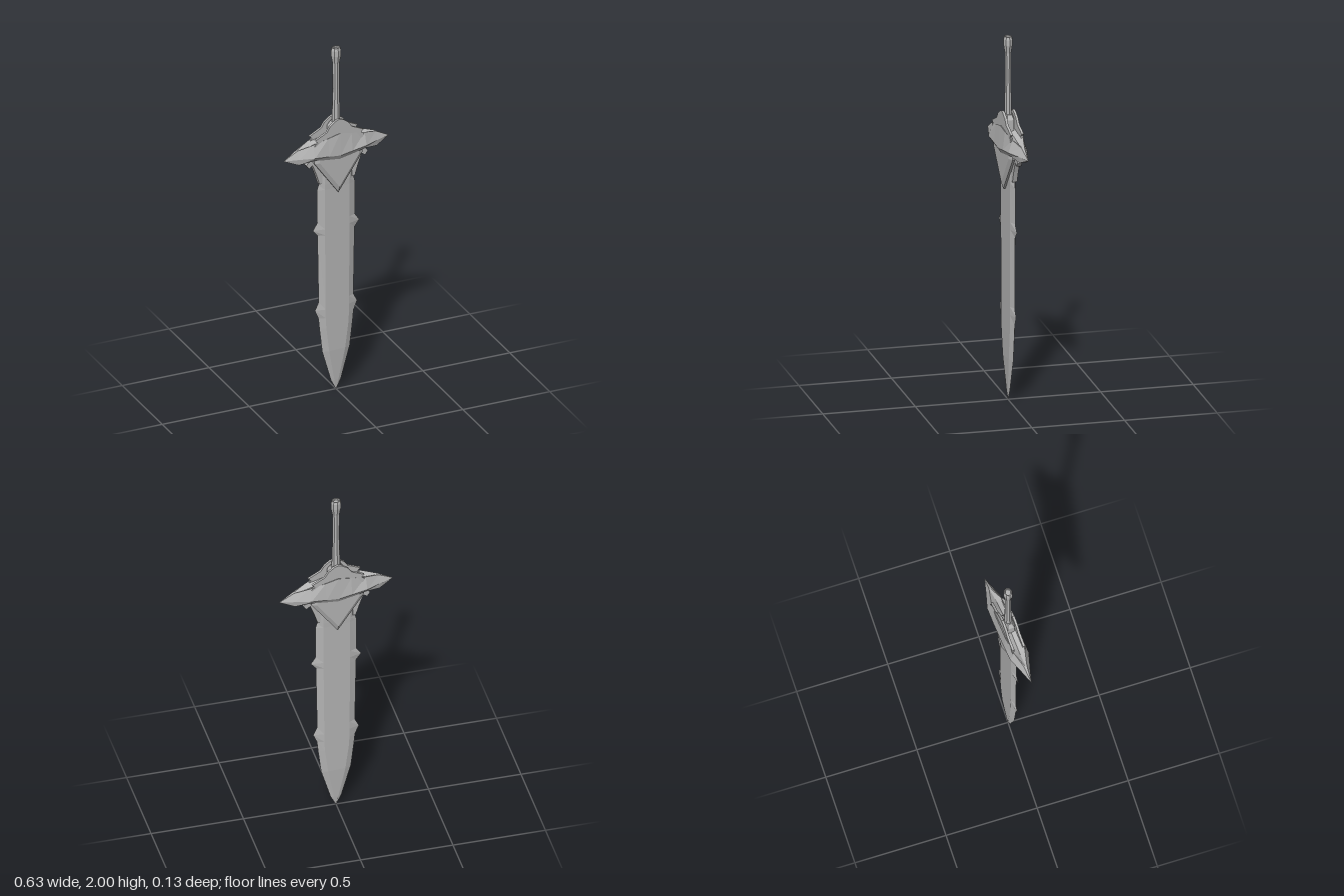
import * as THREE from 'three';

const steel = new THREE.MeshStandardMaterial({ color: 0xb4b4b4 });
steel.name = 'steel grey';

// Faceted solid through a list of equal-sized rings of [x, y, z], capped at both ends.
function loft(rings) {
  const pos = [];
  let volume = 0;
  const tri = (a, b, c) => {
    pos.push([a, b, c]);
    const [u, v, w] = [a, b, c].map((p) => new THREE.Vector3(p[0], p[1] - 1, p[2]));
    volume += u.dot(v.cross(w));
  };
  const n = rings[0].length;
  for (let i = 0; i < rings.length - 1; i++) {
    for (let j = 0; j < n; j++) {
      const k = (j + 1) % n;
      const [a, b, c, d] = [rings[i][j], rings[i][k], rings[i + 1][k], rings[i + 1][j]];
      tri(a, b, c);
      tri(a, c, d);
    }
  }
  const first = rings[0], last = rings[rings.length - 1];
  for (let j = 1; j < n - 1; j++) {
    tri(first[0], first[j + 1], first[j]);
    tri(last[0], last[j], last[j + 1]);
  }
  // Keep the faces pointing outward
  if (volume < 0) pos.forEach((t) => t.reverse());
  const geo = new THREE.BufferGeometry();
  geo.setAttribute('position', new THREE.Float32BufferAttribute(pos.flat(2), 3));
  geo.computeVertexNormals();
  return geo;
}

// Flat plate from an outline, reaching from z0 to z1.
function plate(points, z0, z1) {
  const shape = new THREE.Shape(points.map(([x, y]) => new THREE.Vector2(x, y)));
  const geo = new THREE.ExtrudeGeometry(shape, { depth: z1 - z0, bevelEnabled: false });
  return geo.translate(0, 0, z0);
}

const mirror = (half) => [...half, ...half.slice().reverse().filter(([x]) => x > 0).map(([x, y]) => [-x, y])];

export function createModel() {
  const sword = new THREE.Group();
  sword.name = 'sword';
  const add = (name, geo) => {
    const mesh = new THREE.Mesh(geo, steel);
    mesh.name = name;
    sword.add(mesh);
    return mesh;
  };

  // Blade: height, half width, half width of the flat, half thickness
  const blade = [
    [0.005, 0.001, 0.0005, 0.0005], [0.06, 0.03, 0.012, 0.005], [0.24, 0.083, 0.048, 0.013],
    [0.38, 0.1, 0.066, 0.014], [0.44, 0.106, 0.07, 0.014], [0.49, 0.127, 0.07, 0.014],
    [0.535, 0.105, 0.07, 0.014], [0.925, 0.112, 0.074, 0.014], [0.96, 0.14, 0.074, 0.014],
    [1.0, 0.113, 0.074, 0.014], [1.19, 0.115, 0.074, 0.014], [1.22, 0.106, 0.074, 0.015],
    [1.27, 0.11, 0.076, 0.015], [1.4, 0.135, 0.08, 0.015],
  ];
  add('blade', loft(blade.map(([y, w, f, t]) => [
    [w, y, 0], [f, y, t], [-f, y, t], [-w, y, 0], [-f, y, -t], [f, y, -t],
  ])));

  // Barbs where the blade meets the guard
  for (const side of [1, -1]) {
    const barb = [[0.09, 1.23], [0.106, 1.23], [0.125, 1.29], [0.148, 1.35], [0.168, 1.335],
      [0.186, 1.358], [0.162, 1.383], [0.09, 1.39]].map(([x, y]) => [side * x, y]);
    add(side > 0 ? 'leftBarb' : 'rightBarb', plate(barb, -0.013, 0.013));
  }

  // Pointed collar with bevelled edges
  const collarRing = (w, tip, z) => [[w, 1.4, z], [w, 1.365, z], [0, tip, z], [-w, 1.365, z], [-w, 1.4, z]];
  add('bladeCollar', loft([
    collarRing(0.118, 1.2, -0.038), collarRing(0.145, 1.165, -0.026),
    collarRing(0.145, 1.165, 0.026), collarRing(0.118, 1.2, 0.038),
  ]));

  // Cross guard: x, bottom, widest height, top, half depth low, half depth at top
  const half = [
    [0, 1.365, 1.39, 1.515, 0.053, 0.044], [0.07, 1.376, 1.4, 1.5, 0.054, 0.042],
    [0.155, 1.39, 1.41, 1.478, 0.053, 0.03], [0.235, 1.376, 1.41, 1.455, 0.026, 0.008],
    [0.315, 1.409, 1.41, 1.411, 0.001, 0.0005],
  ];
  const sections = [...half.slice(1).reverse().map(([x, ...r]) => [-x, ...r]), ...half];
  add('crossGuard', loft(sections.map(([x, b, m, t, w, u]) => [
    [x, b, w * 0.75], [x, m, w], [x, t, u], [x, t - 0.02 * (u > 0.02), 0],
    [x, t, -u], [x, m, -w], [x, b, -w * 0.75],
  ])));

  // Raised walls either side of the grip
  const wall = mirror([[0, 1.595], [0.022, 1.588], [0.055, 1.565], [0.075, 1.535],
    [0.145, 1.502], [0.13, 1.487], [0.15, 1.47], [0.1, 1.42], [0, 1.42]]);
  add('frontWall', plate(wall, 0.024, 0.037));
  add('backWall', plate(wall, -0.037, -0.024));

  // Six-sided socket, eight-sided grip and pommel with a dished top
  const turned = (profile, sides, depth) => {
    const geo = new THREE.LatheGeometry(profile.map(([r, y]) => new THREE.Vector2(r, y)), sides);
    const flat = geo.scale(1, 1, depth).toNonIndexed();
    flat.computeVertexNormals();
    return flat;
  };
  add('gripSocket', turned([[0, 1.47], [0.05, 1.47], [0.05, 1.55], [0.032, 1.575], [0, 1.575]], 6, 0.72).rotateY(0));
  add('grip', turned([[0, 1.55], [0.025, 1.55], [0.023, 1.63], [0.019, 1.76], [0.02, 1.91]], 8, 0.85));
  add('pommel', turned([[0.02, 1.91], [0.029, 1.955], [0.029, 1.985], [0.024, 2.0],
    [0.019, 2.0], [0.017, 1.99], [0, 1.99]], 8, 0.85));

  // The whole sword stands turned slightly
  sword.rotation.y = 0.09;
  return sword;
}
